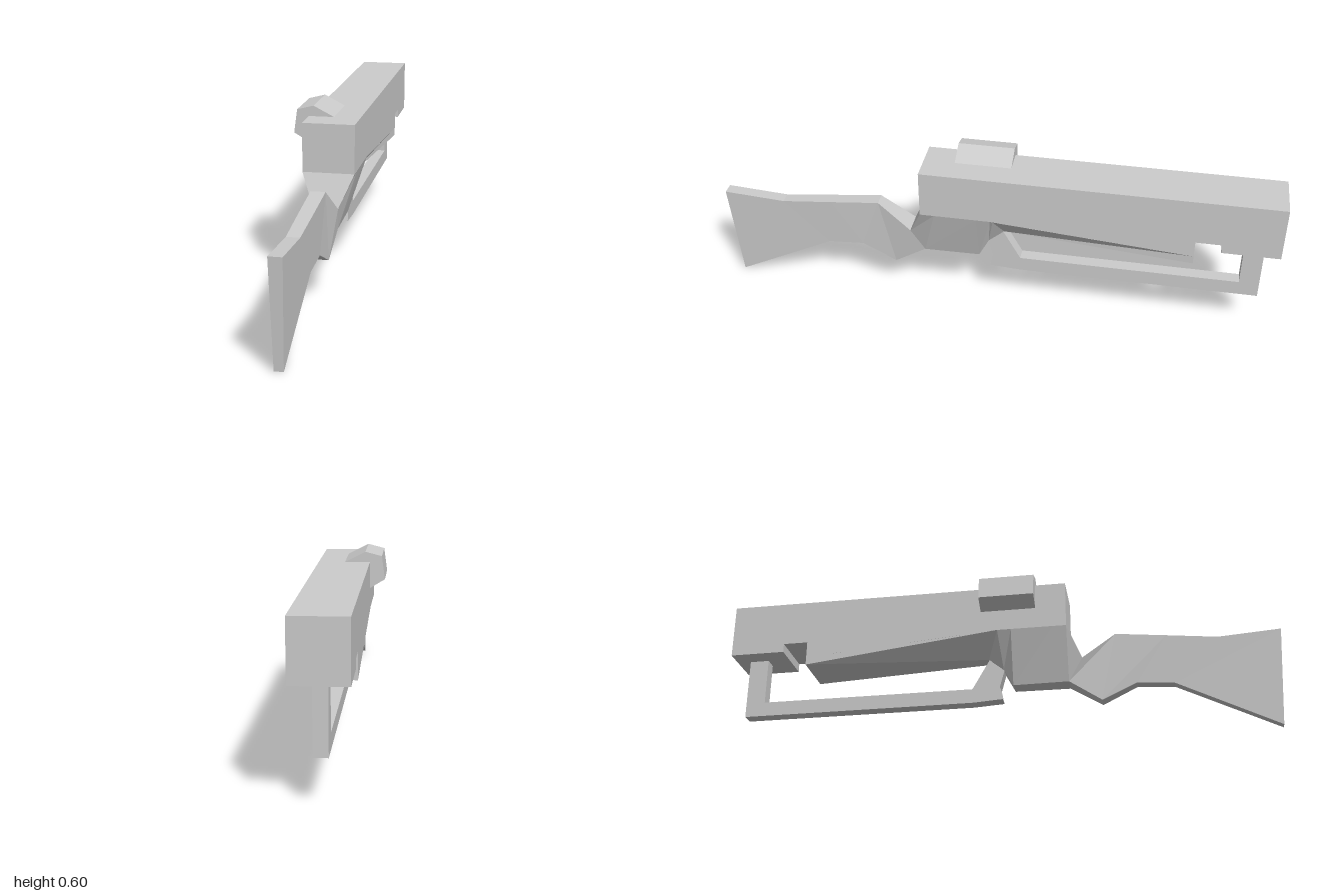
import * as THREE from 'three';

const CX = 0.022; // centre plane of the main parts
const material = new THREE.MeshStandardMaterial({ color: 0xcccccc, flatShading: true });

function mesh(name, geometry) {
  const m = new THREE.Mesh(geometry, material);
  m.name = name;
  return m;
}

// Side profile given as [z, y], extruded across x around the centre plane
function sideExtrude(points, halfWidth) {
  const shape = new THREE.Shape(points.map(([z, y]) => new THREE.Vector2(-z, y)));
  const g = new THREE.ExtrudeGeometry(shape, { depth: halfWidth * 2, bevelEnabled: false });
  g.rotateY(Math.PI / 2);
  g.translate(CX - halfWidth, 0, 0);
  return g;
}

// Four-cornered sections [zTop, yTop, wTop, zBottom, yBottom, wBottom], running towards -z
function loft(sections) {
  const rings = sections.map(([zt, yt, wt, zb, yb, wb]) => [
    [CX + wt, yt, zt], [CX - wt, yt, zt], [CX - wb, yb, zb], [CX + wb, yb, zb],
  ]);
  const pos = [];
  const quad = (a, b, c, d) => pos.push(...a, ...b, ...c, ...a, ...c, ...d);
  for (let i = 0; i < rings.length - 1; i++) {
    const a = rings[i], b = rings[i + 1];
    for (let j = 0; j < 4; j++) {
      const k = (j + 1) % 4;
      quad(a[j], b[j], b[k], a[k]);
    }
  }
  quad(...rings[0]);
  quad(...rings[rings.length - 1].slice().reverse());
  const g = new THREE.BufferGeometry();
  g.setAttribute('position', new THREE.Float32BufferAttribute(pos, 3));
  g.computeVertexNormals();
  return g;
}

export function createModel() {
  const group = new THREE.Group();

  // Long box-like body with a notch under the far end
  group.add(mesh('body', sideExtrude([
    [0.25, 0.57], [0.25, 0.4], [0, 0.4], [-0.71, 0.345], [-0.71, 0.405],
    [-0.8, 0.405], [-0.8, 0.373], [-1, 0.373], [-1, 0.57],
  ], 0.09)));

  // Tapered underside, widening again into the fore-end
  group.add(mesh('receiver', loft([
    [0.25, 0.4, 0.09, 0.3, 0.29, 0.043],
    [0.2, 0.4, 0.09, 0.25, 0.205, 0.033],
    [0.05, 0.4, 0.09, 0.05, 0.205, 0.03],
    [0.0, 0.4, 0.09, 0.015, 0.27, 0.026],
    [-0.01, 0.399, 0.09, -0.04, 0.315, 0.022],
    [-0.71, 0.345, 0.09, -0.71, 0.315, 0.09],
  ])));

  // Shoulder stock and angled grip
  group.add(mesh('stock', loft([
    [1, 0.36, 0.022, 0.975, 0.003, 0.015],
    [0.78, 0.345, 0.022, 0.62, 0.18, 0.018],
    [0.6, 0.364, 0.024, 0.49, 0.19, 0.02],
    [0.42, 0.383, 0.025, 0.365, 0.13, 0.024],
    [0.3, 0.29, 0.043, 0.25, 0.205, 0.033],
  ])));

  // Lower bar hanging from the body at both ends
  group.add(mesh('lowerBar', sideExtrude([
    [0.02, 0.28], [0, 0.205], [0.01, 0.157], [-0.1, 0.15], [-0.95, 0.15], [-0.95, 0.38],
    [-0.88, 0.38], [-0.88, 0.203], [-0.1, 0.203], [-0.035, 0.318],
  ], 0.023)));

  // Faceted block over the right top edge
  const block = new THREE.Shape([
    [0.02, 0.57], [-0.052, 0.607], [-0.11, 0.592], [-0.121, 0.51], [-0.067, 0.477], [0, 0.5],
  ].map(([x, y]) => new THREE.Vector2(x, y)));
  const blockGeometry = new THREE.ExtrudeGeometry(block, { depth: 0.2, bevelEnabled: false });
  blockGeometry.translate(0, 0, -0.06);
  group.add(mesh('sightBlock', blockGeometry));

  return group;
}
